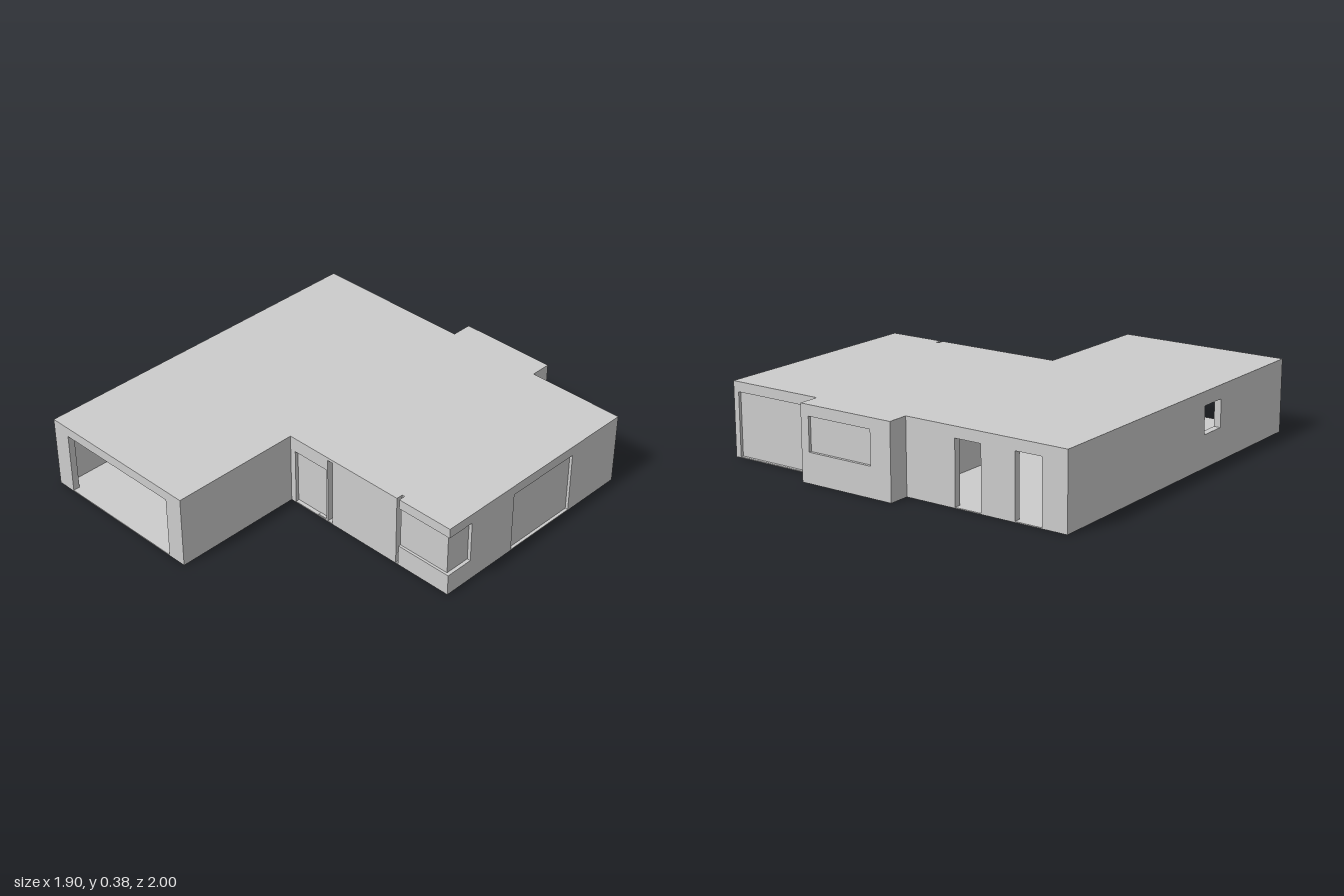
import * as THREE from 'three';

const T = 0.035;      // wall thickness
const FLOOR = 0.005;  // top of the floor slab
const CEIL = 0.36;    // underside of the roof slab
const TOP = 0.375;

export function createModel() {
  const house = new THREE.Group();
  house.name = 'house';
  const plaster = new THREE.MeshStandardMaterial({ color: 0xcccccc });
  plaster.name = 'light grey plaster';

  const add = (name, geometry) => {
    const mesh = new THREE.Mesh(geometry, plaster);
    mesh.name = name;
    house.add(mesh);
    return mesh;
  };

  // Box given by its low and high corner
  const block = (name, [x0, y0, z0], [x1, y1, z1]) =>
    add(name, new THREE.BoxGeometry(x1 - x0, y1 - y0, z1 - z0))
      .position.set((x0 + x1) / 2, (y0 + y1) / 2, (z0 + z1) / 2);

  // Horizontal slab from a plan outline of [x, z] points
  const slab = (name, plan, y0, y1) => {
    const shape = new THREE.Shape(plan.map(([x, z]) => new THREE.Vector2(x, -z)));
    const geometry = new THREE.ExtrudeGeometry(shape, { depth: y1 - y0, bevelEnabled: false });
    add(name, geometry.rotateX(-Math.PI / 2).translate(0, y0, 0));
  };

  // Wall along x or z; 'at' is its low face, openings are [from, to, bottom, top] in rising order
  const wall = (name, axis, from, to, at, openings = [], y0 = FLOOR, y1 = CEIL) => {
    const shape = new THREE.Shape();
    shape.moveTo(from, y0);
    for (const [a, b, low, high] of openings) {
      if (low <= y0) {
        // Door: notch in the bottom edge
        shape.lineTo(a, y0);
        shape.lineTo(a, high);
        shape.lineTo(b, high);
        shape.lineTo(b, y0);
      } else {
        // Window: hole
        const hole = new THREE.Path();
        hole.moveTo(a, low);
        hole.lineTo(a, high);
        hole.lineTo(b, high);
        hole.lineTo(b, low);
        hole.closePath();
        shape.holes.push(hole);
      }
    }
    shape.lineTo(to, y0);
    shape.lineTo(to, y1);
    shape.lineTo(from, y1);
    shape.closePath();
    const geometry = new THREE.ExtrudeGeometry(shape, { depth: T, bevelEnabled: false });
    if (axis === 'x') geometry.translate(0, 0, at);
    else geometry.rotateY(-Math.PI / 2).translate(at + T, 0, 0);
    add(name, geometry);
  };

  // Floor and roof; the roof has a small notch in its front edge
  const plan = [
    [-0.95, 1], [-0.05, 1], [-0.05, 0.31], [0.95, 0.31], [0.95, -0.89],
    [0.43, -0.89], [0.43, -1], [-0.09, -1], [-0.09, -0.89], [-0.95, -0.89],
  ];
  const notch = [[0.632, 0.31], [0.632, 0.275], [0.647, 0.275], [0.647, 0.31]];
  slab('floor', plan, 0, FLOOR);
  slab('roof', [...plan.slice(0, 3), ...notch, ...plan.slice(3)], CEIL, TOP);

  // Garage wing
  wall('garageFrontWall', 'x', -0.95, -0.05, 1 - T, [[-0.85, -0.15, 0, 0.325]]);
  wall('garageInnerSideWall', 'z', 0.2 + T, 1 - T, -0.05 - T);
  wall('garageBackWall', 'x', -0.95 + T, -0.05, 0.2, [[-0.9, -0.77, 0, 0.285]]);
  wall('outerSideWall', 'z', -0.89 + T, 1 - T, -0.95, [[0.243, 0.393, 0.165, 0.305]]);

  // Recessed front with entrance, slot and plain wall
  wall('entranceWall', 'x', -0.05, 0.195, 0.31 - T, [[-0.02, 0.185, 0, 0.3]]);
  block('entranceDoor', [-0.02, 0.008, 0.28], [0.185, 0.3, 0.292]);
  block('entranceSill', [0.13, FLOOR, 0.292], [0.195, 0.01, 0.308]);
  wall('frontWall', 'x', 0.225, 0.632, 0.31 - T);

  // Corner window: sill and header wrap round the corner, glazing is set back
  for (const [part, y0, y1] of [['Sill', FLOOR, 0.11], ['Header', 0.325, CEIL]]) {
    wall('cornerFront' + part, 'x', 0.647, 0.95, 0.31 - T, [], y0, y1);
    wall('cornerSide' + part, 'z', 0.16, 0.31 - T, 0.95 - T, [], y0, y1);
  }
  block('cornerFrontGlazing', [0.647, 0.11, 0.285], [0.932, 0.325, 0.297]);
  block('cornerSideGlazing', [0.92, 0.11, 0.16], [0.932, 0.325, 0.285]);

  // Right side with sliding door
  wall('slidingDoorWall', 'z', -0.89 + T, 0.16, 0.95 - T, [[-0.55, -0.13, 0, 0.325]]);
  block('slidingDoor', [0.923, FLOOR, -0.55], [0.935, 0.325, -0.13]);

  // Back walls and projecting bay
  wall('backDoorWall', 'x', -0.95, -0.09, -0.89, [
    [-0.82, -0.68, 0, 0.32], [-0.5, -0.36, 0, 0.32],
  ]);
  wall('backPatioWall', 'x', 0.43, 0.95, -0.89, [[0.45, 0.92, 0, 0.325]]);
  block('patioDoor', [0.45, FLOOR, -0.875], [0.92, 0.325, -0.863]);
  wall('bayWall', 'x', -0.09, 0.43, -1, [[0.025, 0.385, 0.15, 0.32]]);
  block('bayGlazing', [0.025, 0.15, -0.985], [0.385, 0.32, -0.973]);
  for (const x of [-0.09, 0.43 - T]) wall('baySideWall', 'z', -1 + T, -0.89 + T, x);

  // Inner partition
  wall('partition', 'z', -0.89 + T, 0.2 + T, -0.05 - T, [[-0.2, -0.06, 0, 0.285]]);

  return house;
}
